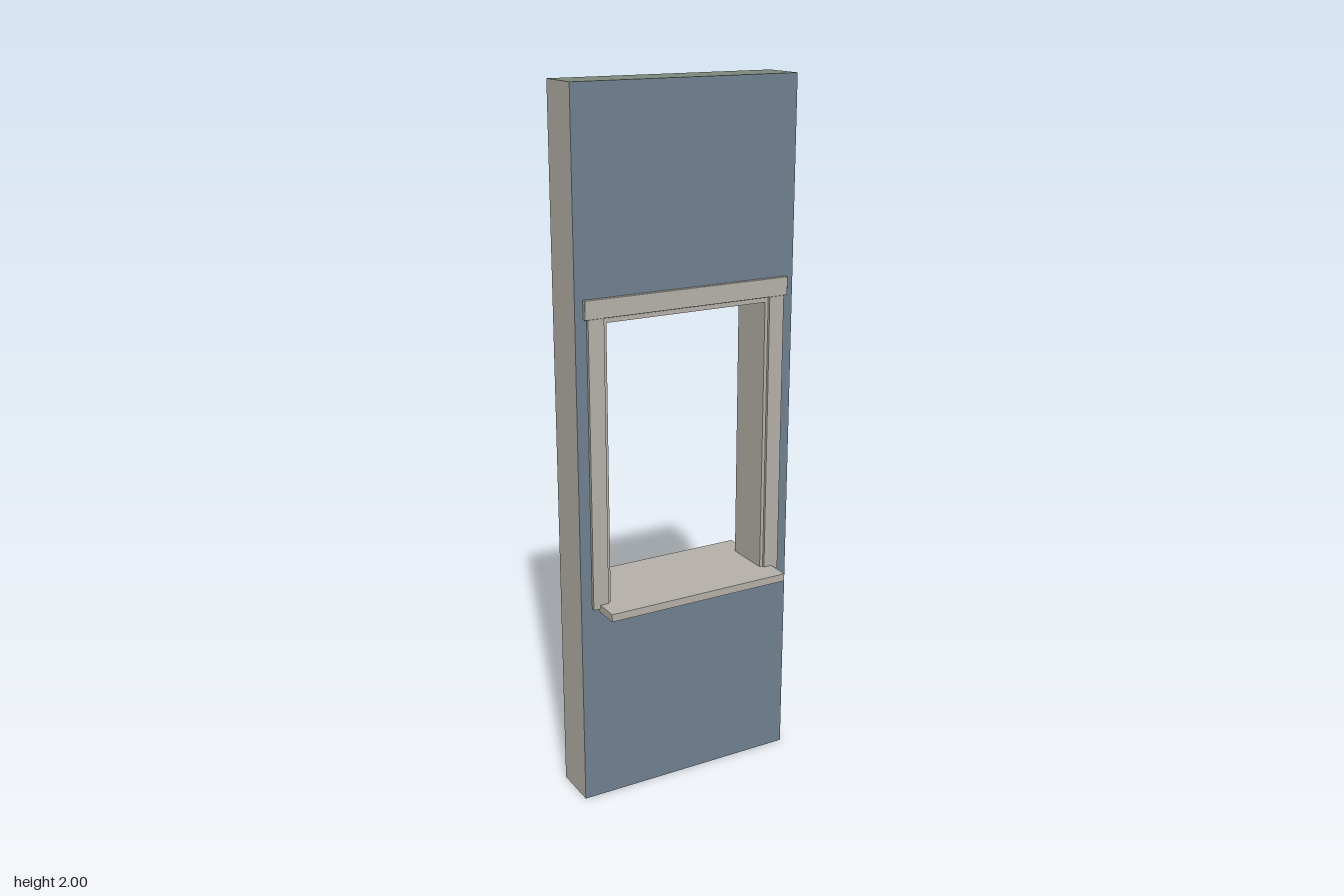
import * as THREE from 'three';
import { RoundedBoxGeometry } from 'three/addons/geometries/RoundedBoxGeometry.js';

const material = (name, color) => {
  const m = new THREE.MeshStandardMaterial({ color });
  m.name = name;
  return m;
};

// Rectangle corners, used for the wall outline and its opening
const rect = (path, x, y0, y1) => {
  path.moveTo(-x, y0);
  path.lineTo(x, y0);
  path.lineTo(x, y1);
  path.lineTo(-x, y1);
  path.closePath();
  return path;
};

export function createModel() {
  const group = new THREE.Group();
  group.name = 'wallWithWindowOpening';
  const plaster = material('warm grey plaster', 0xb5b1a9);
  const blue = material('slate blue paint', 0x708090);
  const green = material('sage green top', 0x7b8878);

  const halfDepth = 0.0665;

  // Wall panel with a rectangular opening
  const outline = rect(new THREE.Shape(), 0.333, 0, 2);
  outline.holes.push(rect(new THREE.Path(), 0.255, 0.59, 1.405));
  const wallGeo = new THREE.ExtrudeGeometry(outline, { depth: 2 * halfDepth, bevelEnabled: false });
  wallGeo.translate(0, 0, -halfDepth);

  // Blue on the front, green on top, plaster everywhere else
  wallGeo.clearGroups();
  const pos = wallGeo.attributes.position, nor = wallGeo.attributes.normal;
  for (let i = 0; i < pos.count; i += 3) {
    const front = nor.getZ(i) > 0.9;
    const top = nor.getY(i) > 0.9 && pos.getY(i) > 1.99;
    wallGeo.addGroup(i, 3, front ? 1 : top ? 2 : 0);
  }
  const wall = new THREE.Mesh(wallGeo, [plaster, blue, green]);
  wall.name = 'wall';
  group.add(wall);

  const box = (name, w, h, d, x, y, z, radius = 0) => {
    const geo = radius ? new RoundedBoxGeometry(w, h, d, 2, radius) : new THREE.BoxGeometry(w, h, d);
    const mesh = new THREE.Mesh(geo, plaster);
    mesh.name = name;
    mesh.position.set(x, y, z);
    group.add(mesh);
  };

  // Lining of the opening
  for (const s of [-1, 1]) {
    box(s > 0 ? 'leftJamb' : 'rightJamb', 0.012, 0.81, 0.137, s * 0.25, 1.0, 0);
  }
  box('headLining', 0.51, 0.014, 0.137, 0, 1.398, 0);

  // Sill running through the wall and out on both sides
  box('sill', 0.558, 0.022, 0.292, 0, 0.59, 0);

  // Trim on both faces
  for (const side of [-1, 1]) {
    const face = side > 0 ? 'front' : 'back';
    for (const s of [-1, 1]) {
      box(face + (s > 0 ? 'LeftCasing' : 'RightCasing'), 0.046, 0.817, 0.01,
        s * 0.277, 0.9985, side * 0.0715);
    }
    box(face + 'HeadCasing', 0.62, 0.052, 0.0125, 0, 1.432, side * 0.0727, 0.002);
  }
  return group;
}
